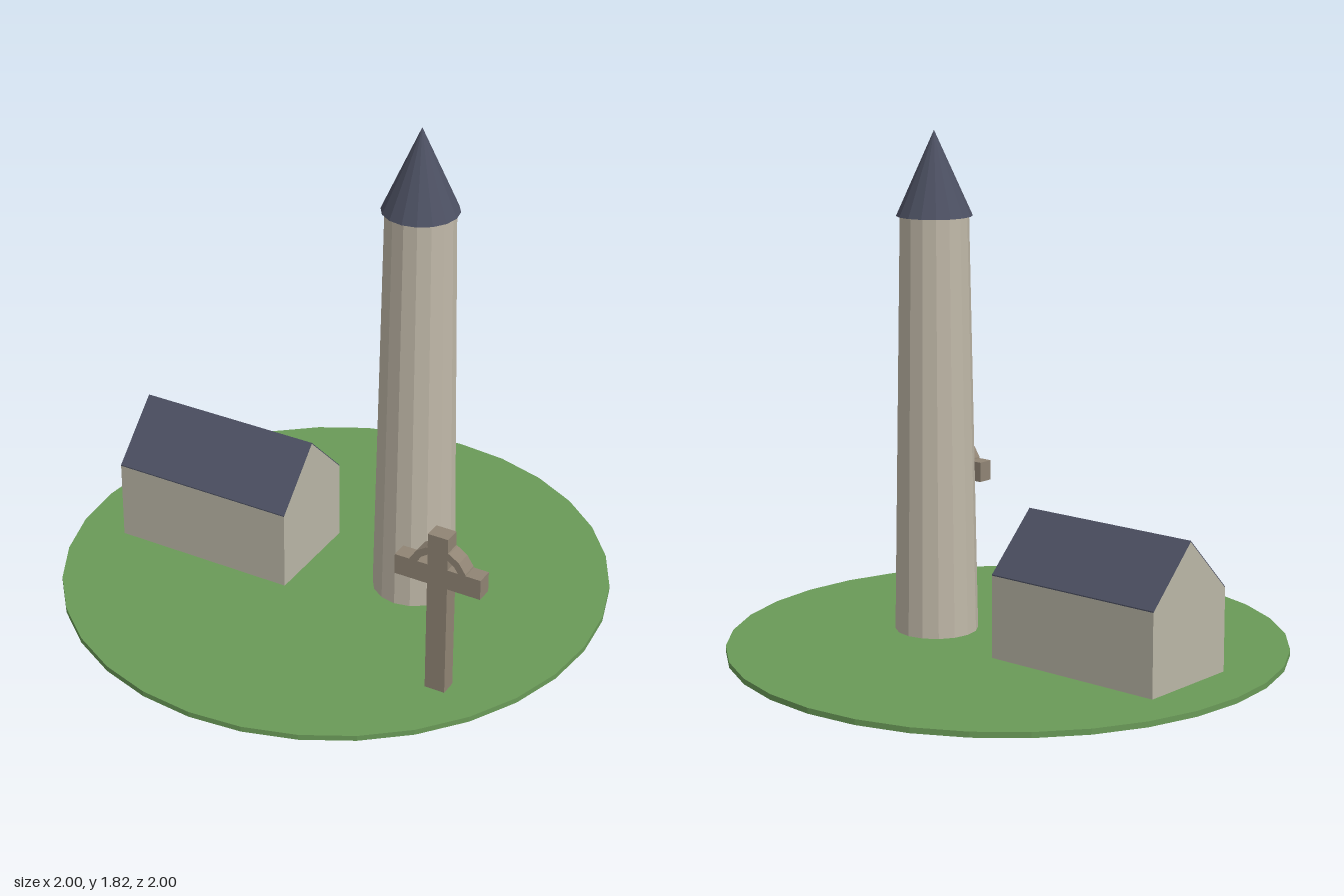
import * as THREE from 'three';

const material = (name, color) => {
  const m = new THREE.MeshStandardMaterial({ color, flatShading: true });
  m.name = name;
  return m;
};

export function createModel() {
  const grass = material('grass', 0x6a9a58);
  const towerStone = material('tower stone', 0xc0b8a8);
  const chapelStone = material('chapel stone', 0xbab6a6);
  const slate = material('slate', 0x4c5062);
  const crossStone = material('cross stone', 0x908474);

  const model = new THREE.Group();
  model.name = 'roundTowerSite';
  const add = (parent, name, geometry, mat, x, y, z) => {
    const mesh = new THREE.Mesh(geometry, mat);
    mesh.name = name;
    mesh.position.set(x, y, z);
    parent.add(mesh);
    return mesh;
  };
  const group = (name, x, y, z) => {
    const g = new THREE.Group();
    g.name = name;
    g.position.set(x, y, z);
    model.add(g);
    return g;
  };
  const extrude = (points, depth) => new THREE.ExtrudeGeometry(
    new THREE.Shape(points.map(([x, y]) => new THREE.Vector2(x, y))),
    { depth, bevelEnabled: false }
  ).translate(0, 0, -depth / 2);

  // Grass disc
  add(model, 'ground', new THREE.CylinderGeometry(1, 1, 0.02, 32), grass, 0, 0.01, 0);

  // Tapered round tower with a conical cap
  const tower = group('tower', 0.297, 0.02, -0.05);
  add(tower, 'towerShaft', new THREE.CylinderGeometry(0.122, 0.15, 1.5, 16), towerStone, 0, 0.75, 0);
  add(tower, 'towerCap', new THREE.ConeGeometry(0.135, 0.3, 16), slate, 0, 1.65, 0);

  // Gabled chapel with its ridge along x; the slates lie flush on the gables
  const chapel = group('chapel', -0.45, 0.02, 0);
  const t = 0.004;
  const walls = extrude([[-0.2, 0], [0.2, 0], [0.2, 0.3 - t], [0, 0.5 - t], [-0.2, 0.3 - t]], 0.7);
  const roof = extrude([[-0.2, 0.3 - t], [0, 0.5 - t], [0.2, 0.3 - t], [0.2, 0.3], [0, 0.5], [-0.2, 0.3]], 0.7);
  add(chapel, 'chapelWalls', walls.rotateY(Math.PI / 2), chapelStone, 0, 0, 0);
  add(chapel, 'chapelRoof', roof.rotateY(Math.PI / 2), slate, 0, 0, 0);

  // Standing cross with a half ring above the arms
  const cross = group('cross', 0.66, 0.02, 0.45);
  add(cross, 'crossShaft', new THREE.BoxGeometry(0.075, 0.62, 0.06), crossStone, 0, 0.31, 0);
  add(cross, 'crossArms', new THREE.BoxGeometry(0.32, 0.075, 0.06), crossStone, 0, 0.4625, 0);
  const arc = (r, i) => [r * Math.cos(i * Math.PI / 8), r * Math.sin(i * Math.PI / 8)];
  const steps = [...Array(9).keys()];
  const ring = [...steps.map(i => arc(0.112, i)), ...steps.reverse().map(i => arc(0.086, i))];
  add(cross, 'crossRing', extrude(ring, 0.06), crossStone, 0, 0.462, 0);

  return model;
}
